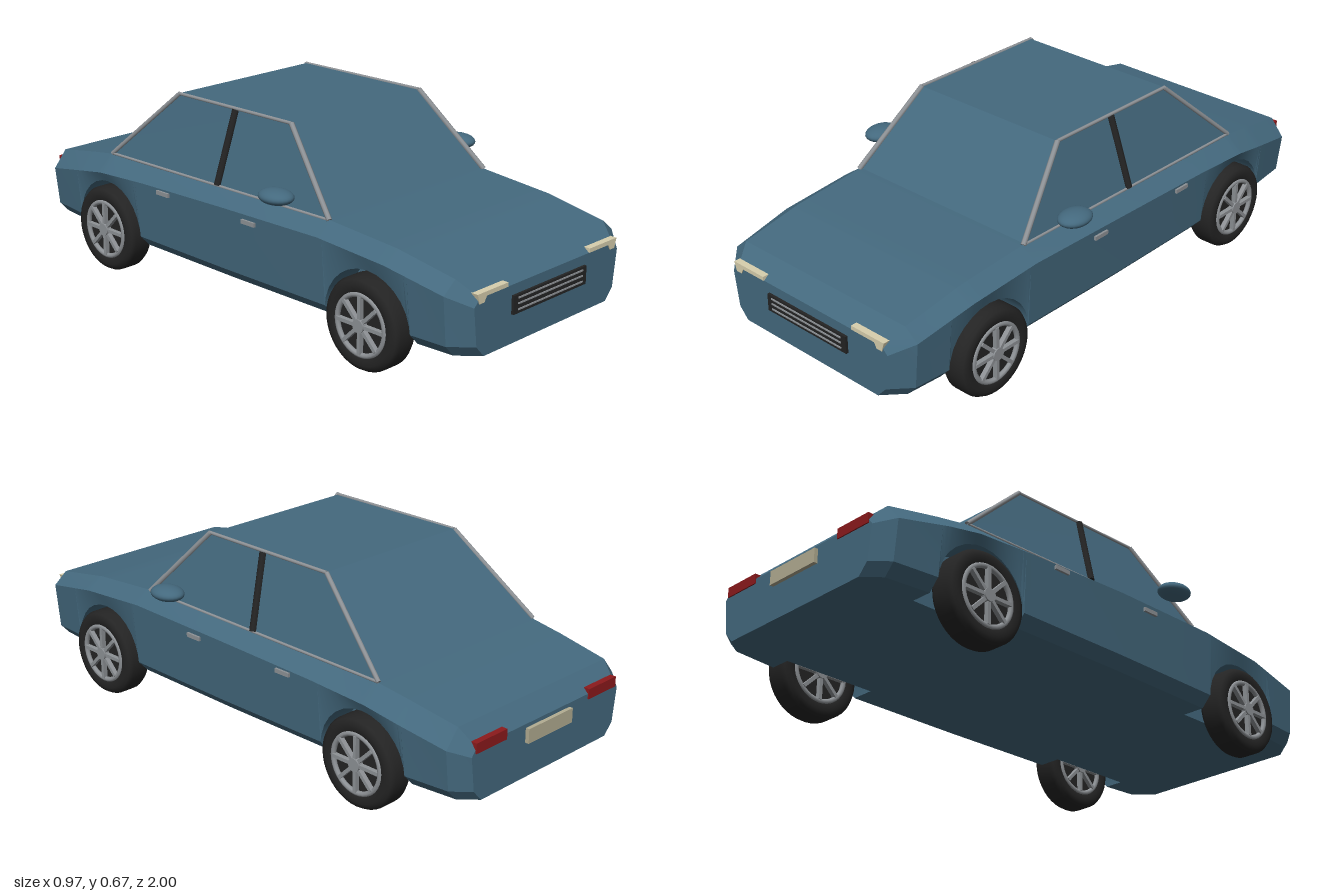
import * as THREE from 'three';
import { toCreasedNormals } from 'three/addons/utils/BufferGeometryUtils.js';

const paint = (name, color) => Object.assign(new THREE.MeshStandardMaterial({ color }), { name });
const blue = paint('bodyBlue', 0x44697e);
const black = paint('rubberBlack', 0x242424);
const grey = paint('metalGrey', 0x8e9296);
const cream = paint('lampCream', 0xd8cfae);
const tan = paint('plateTan', 0xb3ad92);
const red = paint('lampRed', 0x8c1a1c);

const ARCH_R = 0.17, AXLE_Y = 0.155, AXLES = [0.62, -0.605], FLOOR = 0.127;

function add(parent, name, geometry, material, x = 0, y = 0, z = 0) {
  const m = new THREE.Mesh(geometry, material);
  m.name = name;
  m.position.set(x, y, z);
  parent.add(m);
  return m;
}
const box = (parent, name, mat, size, pos) => add(parent, name, new THREE.BoxGeometry(...size), mat, ...pos);

// Round bar between two points
function bar(parent, name, mat, p, q, r) {
  const a = new THREE.Vector3(...p), b = new THREE.Vector3(...q);
  const d = b.clone().sub(a);
  const m = add(parent, name, new THREE.CylinderGeometry(r, r, d.length(), 8), mat);
  m.position.copy(a).add(b).multiplyScalar(0.5);
  m.quaternion.setFromUnitVectors(new THREE.Vector3(0, 1, 0), d.normalize());
  return m;
}

// Skin a row of closed rings (clockwise seen from the first one) and cap both ends
function loft(rings, crease) {
  const pos = [], tri = (...p) => p.forEach(v => pos.push(...v));
  const n = rings[0].length;
  for (let i = 0; i + 1 < rings.length; i++) {
    for (let j = 0; j < n; j++) {
      const k = (j + 1) % n, a = rings[i], b = rings[i + 1];
      tri(a[j], a[k], b[k]);
      tri(a[j], b[k], b[j]);
    }
  }
  const s = rings[0], e = rings[rings.length - 1];
  for (let j = 1; j + 1 < n; j++) {
    tri(s[0], s[j + 1], s[j]);
    tri(e[0], e[j], e[j + 1]);
  }
  const g = new THREE.BufferGeometry();
  g.setAttribute('position', new THREE.Float32BufferAttribute(pos, 3));
  return toCreasedNormals(g, crease);
}

// Hull stations: z, top height, top half-width, shoulder height, shoulder half-width
const STATIONS = [
  [0.985, 0.315, 0.325, 0.29, 0.35],
  [0.92, 0.365, 0.36, 0.325, 0.41],
  [0.70, 0.403, 0.365, 0.365, 0.425],
  [0.43, 0.425, 0.37, 0.385, 0.43],
  [0, 0.42, 0.37, 0.38, 0.435],
  [-0.4, 0.413, 0.37, 0.368, 0.432],
  [-0.63, 0.41, 0.37, 0.355, 0.43],
  [-0.75, 0.392, 0.365, 0.335, 0.425],
  [-0.93, 0.36, 0.355, 0.3, 0.405],
  [-0.985, 0.305, 0.335, 0.28, 0.355],
];

function stationAt(z) {
  let i = 0;
  while (i < STATIONS.length - 2 && z < STATIONS[i + 1][0]) i++;
  const a = STATIONS[i], b = STATIONS[i + 1], t = (z - a[0]) / (b[0] - a[0]);
  return a.map((v, k) => v + (b[k] - v) * t);
}

// Cross-section whose lower edge rises over the wheels
function hullRing(z) {
  const [, top, wt, ys, w] = stationAt(z);
  let arch = 0;
  for (const c of AXLES) {
    const d = Math.abs(z - c);
    if (d <= ARCH_R + 1e-6) arch = AXLE_Y + Math.sqrt(Math.max(0, ARCH_R ** 2 - d * d));
  }
  const low = Math.max(0.165, arch), under = Math.max(FLOOR, arch), well = Math.min(0.3, w - 0.06);
  const half = [[wt, top], [w, ys], [w - 0.015, low], [w - 0.05, under], [well, under], [well, FLOOR]];
  return [
    [0, top, z],
    ...half.map(([x, y]) => [x, y, z]),
    [0, FLOOR, z],
    ...half.reverse().map(([x, y]) => [-x, y, z]),
  ];
}

function hullGeometry() {
  const zs = STATIONS.map(s => s[0]);
  for (const c of AXLES) {
    zs.push(c + ARCH_R + 0.0005, c - ARCH_R - 0.0005);
    for (let i = 0; i <= 14; i++) zs.push(c + ARCH_R * Math.cos(Math.PI * i / 14));
  }
  zs.sort((a, b) => b - a);
  return loft(zs.map(hullRing), 0.3);
}

// Wheel with the same spoked rim on both faces, axle along x
function makeWheel() {
  const wheel = new THREE.Group();
  const profile = [[0.1, -0.04], [0.108, -0.046], [0.128, -0.048], [0.143, -0.042], [0.151, -0.028],
    [0.151, 0.028], [0.143, 0.042], [0.128, 0.048], [0.108, 0.046], [0.1, 0.04]];
  const tyre = new THREE.LatheGeometry(profile.map(p => new THREE.Vector2(...p)), 40);
  add(wheel, 'tyre', tyre.rotateZ(Math.PI / 2), black);
  add(wheel, 'wheelDisc', new THREE.CylinderGeometry(0.102, 0.102, 0.07, 32).rotateZ(Math.PI / 2), black);
  for (const s of [1, -1]) {
    add(wheel, 'rimRing', new THREE.TorusGeometry(0.097, 0.009, 8, 36).rotateY(Math.PI / 2), grey, s * 0.04);
    add(wheel, 'hub', new THREE.CylinderGeometry(0.022, 0.022, 0.022, 16).rotateZ(Math.PI / 2), grey, s * 0.044);
    for (let i = 0; i < 8; i++) {
      const spoke = new THREE.BoxGeometry(0.016, 0.08, 0.012).translate(0, 0.054, 0);
      add(wheel, 'spoke', spoke.rotateX(i * Math.PI / 4), grey, s * 0.043);
    }
  }
  return wheel;
}

export function createModel() {
  const car = new THREE.Group();
  car.name = 'sedan';
  add(car, 'bodyHull', hullGeometry(), blue);

  // Cabin
  const rect = (y, w, zb, zf) => [[-w, y, zb], [w, y, zb], [w, y, zf], [-w, y, zf]];
  const roof = rect(0.669, 0.3, -0.345, 0.19), belt = rect(0.41, 0.37, -0.632, 0.42);
  belt[2][1] = belt[3][1] = 0.422;
  add(car, 'cabin', loft([roof, belt], 0.1), blue);

  for (const s of [1, -1]) {
    // Window trim and centre pillar
    const path = [[0.37, 0.424, 0.425], [0.3, 0.67, 0.19], [0.3, 0.667, -0.345], [0.37, 0.412, -0.632]]
      .map(([x, y, z]) => [s * x, y, z]);
    bar(car, 'frontPillarTrim', grey, path[0], path[1], 0.009);
    bar(car, 'roofTrim', grey, path[1], path[2], 0.006);
    bar(car, 'rearPillarTrim', grey, path[2], path[3], 0.008);
    bar(car, 'beltTrim', grey, path[3], path[0], 0.005);
    bar(car, 'centrePillar', black, [s * 0.302, 0.665, -0.065], [s * 0.37, 0.42, -0.085], 0.013);

    // Mirror
    const mirror = new THREE.SphereGeometry(1, 24, 16).scale(0.05, 0.025, 0.064);
    add(car, 'mirror', mirror, blue, s * 0.434, 0.477, 0.258);

    // Door handles
    for (const z of [0.13, -0.287]) box(car, 'doorHandle', grey, [0.014, 0.014, 0.06], [s * 0.433, 0.358, z]);

    // Headlamp: slim bar with a drop at the outer end
    const lamp = new THREE.Shape([[0.2, 0.33], [0.2, 0.316], [0.298, 0.316], [0.308, 0.298], [0.33, 0.298], [0.34, 0.33]]
      .map(([x, y]) => new THREE.Vector2(s * x, y)));
    add(car, 'headlamp', new THREE.ExtrudeGeometry(lamp, { depth: 0.045, bevelEnabled: false }), cream, 0, 0, 0.943);

    // Tail lamp
    box(car, 'tailLamp', red, [0.14, 0.034, 0.03], [s * 0.27, 0.305, -0.974]);

    for (const z of AXLES) {
      const wheel = makeWheel();
      wheel.name = z > 0 ? 'frontWheel' : 'rearWheel';
      wheel.position.set(s * 0.393, AXLE_Y, z);
      car.add(wheel);
    }
  }

  // Grille
  box(car, 'grille', black, [0.356, 0.06, 0.02], [0, 0.252, 0.984]);
  for (const y of [0.235, 0.254, 0.272]) box(car, 'grilleBar', grey, [0.316, 0.005, 0.008], [0, y, 0.993]);

  // Rear plate
  box(car, 'rearPlate', tan, [0.214, 0.048, 0.02], [0, 0.268, -0.988]);
  return car;
}
